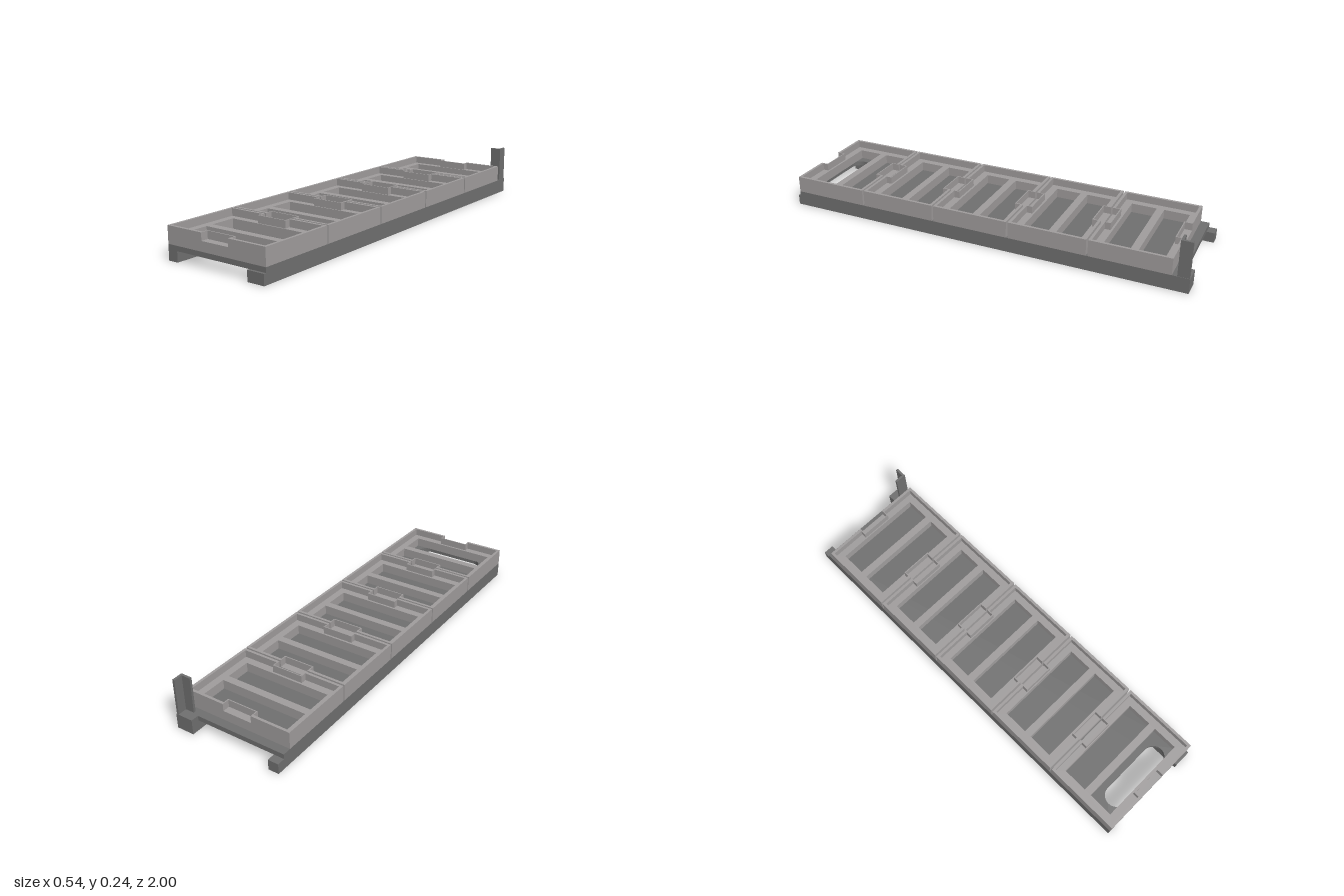
import * as THREE from 'three';

const HALF_W = 0.268, TRAY_HALF = 0.1875;
const PLATE_BOTTOM = 0.049, PLATE_TOP = 0.072, SHELF = 0.117, RIM = 0.152;

const baseMaterial = new THREE.MeshStandardMaterial({ color: 0x707070 });
const trayMaterial = new THREE.MeshStandardMaterial({ color: 0xa09d9d });

// Box given by its limits on each axis
function box(name, x0, x1, y0, y1, z0, z1) {
  const geometry = new THREE.BoxGeometry(x1 - x0, y1 - y0, z1 - z0);
  geometry.translate((x0 + x1) / 2, (y0 + y1) / 2, (z0 + z1) / 2);
  const mesh = new THREE.Mesh(geometry, baseMaterial);
  mesh.name = name;
  return mesh;
}

// Plan outline (drawn in x, -z, counter-clockwise) raised from y0 to y1
function slab(name, shape, y0, y1, material) {
  const geometry = new THREE.ExtrudeGeometry(shape, { depth: y1 - y0, bevelEnabled: false, curveSegments: 16 });
  geometry.rotateX(-Math.PI / 2).translate(0, y0, 0);
  const mesh = new THREE.Mesh(geometry, material);
  mesh.name = name;
  return mesh;
}

const toPoints = (pairs) => pairs.map(([x, z]) => new THREE.Vector2(x, -z));

function rectangle(x0, x1, z0, z1) {
  return toPoints([[x0, z1], [x1, z1], [x1, z0], [x0, z0]]);
}

// Rectangle whose two ends step inward around a central finger pocket
function steppedOutline(halfX, halfZ, pocketX, pocketZ) {
  const end = [[-halfX, halfZ], [-pocketX, halfZ], [-pocketX, pocketZ], [pocketX, pocketZ], [pocketX, halfZ], [halfX, halfZ]];
  return toPoints([...end, ...end.map(([x, z]) => [-x, -z])]);
}

function createTray() {
  const tray = new THREE.Group();

  // Shelf with two rectangular wells
  const shelf = new THREE.Shape(rectangle(-HALF_W, HALF_W, -TRAY_HALF, TRAY_HALF));
  for (const z of [-0.081, 0.077]) {
    shelf.holes.push(new THREE.Path(rectangle(-0.22, 0.22, z - 0.061, z + 0.061)));
  }
  tray.add(slab('trayShelf', shelf, PLATE_TOP, SHELF, trayMaterial));

  // Thin rim that jogs inward at both ends, thinner still around the pockets
  const wall = 0.013, pocketWall = 0.005, pocketX = 0.073, pocketZ = TRAY_HALF - 0.035;
  const rim = new THREE.Shape(steppedOutline(HALF_W, TRAY_HALF, pocketX, pocketZ));
  rim.holes.push(new THREE.Path(steppedOutline(
    HALF_W - wall, TRAY_HALF - wall, pocketX + pocketWall, pocketZ - pocketWall)));
  tray.add(slab('trayRim', rim, SHELF, RIM, trayMaterial));
  return tray;
}

export function createModel() {
  const model = new THREE.Group();
  model.name = 'trayRack';

  // Base plate with a rounded slot near the front
  const plate = new THREE.Shape(rectangle(-HALF_W, HALF_W, -0.962, 0.988));
  const slot = new THREE.Path();
  const r = 0.051, slotX = 0.13, slotY = -0.898;
  slot.absarc(slotX, slotY, r, -Math.PI / 2, Math.PI / 2, false);
  slot.absarc(-slotX, slotY, r, Math.PI / 2, Math.PI * 1.5, false);
  plate.holes.push(slot);
  model.add(slab('basePlate', plate, PLATE_BOTTOM, PLATE_TOP, baseMaterial));

  // Runners: narrow on one side, wide on the other
  model.add(box('rightRunner', -HALF_W, -0.217, 0, PLATE_BOTTOM, -1, 0.988));
  model.add(box('leftRunner', 0.182, HALF_W, 0, PLATE_BOTTOM, -1, 1));

  // Raised runner end carrying an angle-section post
  model.add(box('postFoot', 0.182, HALF_W, PLATE_BOTTOM, PLATE_TOP, -1, -0.962));
  const x0 = 0.211, x1 = 0.266, z0 = -0.998, z1 = -0.944, t = 0.011;
  const angle = new THREE.Shape(toPoints([
    [x0, z1], [x1, z1], [x1, z0], [x1 - t, z0], [x1 - t, z1 - t], [x0, z1 - t],
  ]));
  model.add(slab('cornerPost', angle, PLATE_TOP, 0.245, baseMaterial));

  // Five trays in a row
  for (let i = 0; i < 5; i++) {
    const tray = createTray();
    tray.name = `tray${i + 1}`;
    tray.position.z = 0.8 - i * 0.3835;
    model.add(tray);
  }
  return model;
}
